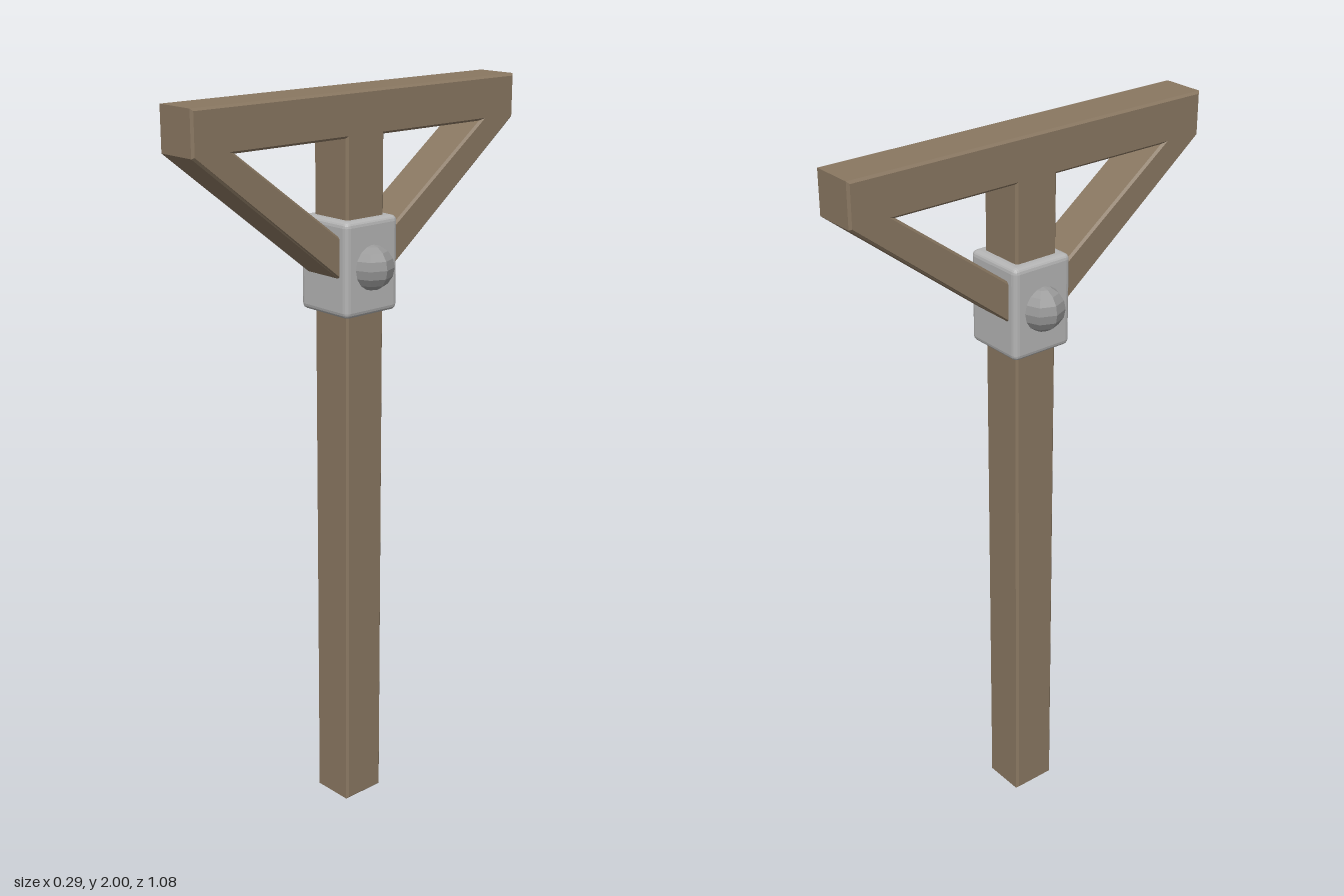
import * as THREE from 'three';
import { RoundedBoxGeometry } from 'three/addons/geometries/RoundedBoxGeometry.js';

const HALF = 0.064; // half thickness of the timber
const BEVEL = 0.006;

export function createModel() {
  const model = new THREE.Group();
  model.name = 'timberPost';

  const material = (name, color) => {
    const m = new THREE.MeshStandardMaterial({ color, flatShading: true });
    m.name = name;
    return m;
  };
  const wood = material('wood', 0x897761);
  const iron = material('iron', 0xb4b4b4);
  const boltIron = material('boltIron', 0x9a9a9a);

  const add = (name, geometry, mat) => {
    const mesh = new THREE.Mesh(geometry, mat);
    mesh.name = name;
    model.add(mesh);
    return mesh;
  };

  // Bevelled timber from a side outline of [z, y] points, centred on x
  const timber = (name, points) => {
    const shape = new THREE.Shape(points.map(([z, y]) => new THREE.Vector2(z, y)));
    const depth = 2 * (HALF - BEVEL);
    const geometry = new THREE.ExtrudeGeometry(shape, {
      depth, bevelEnabled: true, bevelThickness: BEVEL,
      bevelSize: BEVEL, bevelOffset: -BEVEL, bevelSegments: 1,
    });
    geometry.translate(0, 0, -depth / 2);
    geometry.rotateY(-Math.PI / 2);
    return add(name, geometry, wood);
  };

  // Upright post and crossbeam
  timber('post', [[-HALF, 0], [HALF, 0], [HALF, 1.94], [-HALF, 1.94]]);
  timber('crossbeam', [[-0.54, 1.885], [0.54, 1.885], [0.54, 2], [-0.54, 2]]);

  // Diagonal braces, ends buried in the beam and the bracket
  const brace = [[0.04, 1.495], [0.54, 1.885], [0.54, 1.95], [0.5, 1.95], [0.414, 1.885], [0.04, 1.605]];
  timber('frontBrace', brace);
  timber('backBrace', brace.map(([z, y]) => [-z, y]).reverse());

  // Iron bracket around the joint
  add('bracket', new RoundedBoxGeometry(0.18, 0.25, 0.18, 2, 0.015), iron).position.y = 1.555;

  // Round bolt heads on both sides
  for (const [name, side] of [['leftBolt', 1], ['rightBolt', -1]]) {
    add(name, new THREE.SphereGeometry(0.06, 8, 8), boltIron).position.set(side * 0.085, 1.555, 0);
  }

  return model;
}
